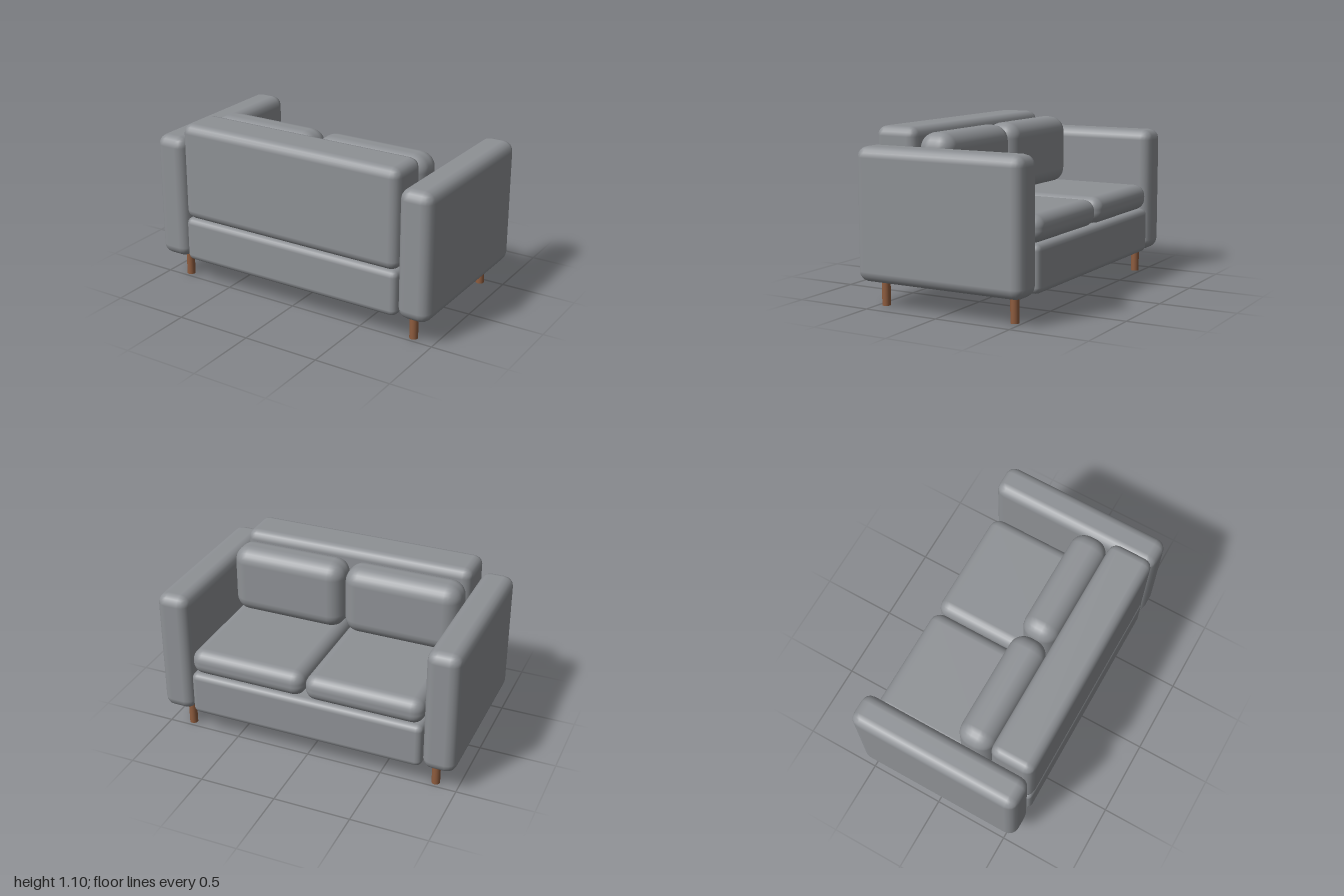
import * as THREE from 'three';
import { RoundedBoxGeometry } from 'three/addons/geometries/RoundedBoxGeometry.js';

export function createModel() {
  const sofa = new THREE.Group();
  sofa.name = 'sofa';
  const fabric = new THREE.MeshStandardMaterial({ color: 0x8e9195 });
  const wood = new THREE.MeshStandardMaterial({ color: 0x8e5c3e });

  // Soft padded block spanning [min, max] on each axis
  const pad = (name, [x0, x1], [y0, y1], [z0, z1], radius, segments = 2) => {
    const mesh = new THREE.Mesh(
      new RoundedBoxGeometry(x1 - x0, y1 - y0, z1 - z0, segments, radius), fabric);
    mesh.position.set((x0 + x1) / 2, (y0 + y1) / 2, (z0 + z1) / 2);
    mesh.name = name;
    sofa.add(mesh);
  };

  // Base and backrest; the backrest stands on the +z side
  pad('base', [-0.786, 0.786], [0.161, 0.457], [-0.573, 0.573], 0.04);
  pad('backrest', [-0.787, 0.787], [0.455, 1.098], [0.28, 0.574], 0.06);

  const legGeometry = new THREE.CylinderGeometry(0.027, 0.027, 0.18, 16);
  for (const side of [-1, 1]) {
    const label = side > 0 ? 'left' : 'right';
    const span = (a, b) => (side > 0 ? [a, b] : [-b, -a]);

    pad(label + 'Arm', span(0.785, 1.002), [0.16, 0.99], [-0.575, 0.575], 0.067);
    pad(label + 'SeatCushion', span(0.002, 0.783), [0.455, 0.625], [-0.574, 0.283], 0.075, 3);
    pad(label + 'BackCushion', span(0.002, 0.784), [0.61, 1.069], [0.039, 0.281], 0.1, 3);

    // Round wooden legs under the arm
    for (const end of [-1, 1]) {
      const leg = new THREE.Mesh(legGeometry, wood);
      leg.position.set(side * 0.854, 0.09, end * 0.454);
      leg.name = label + (end > 0 ? 'Front' : 'Rear') + 'Leg';
      sofa.add(leg);
    }
  }
  return sofa;
}
